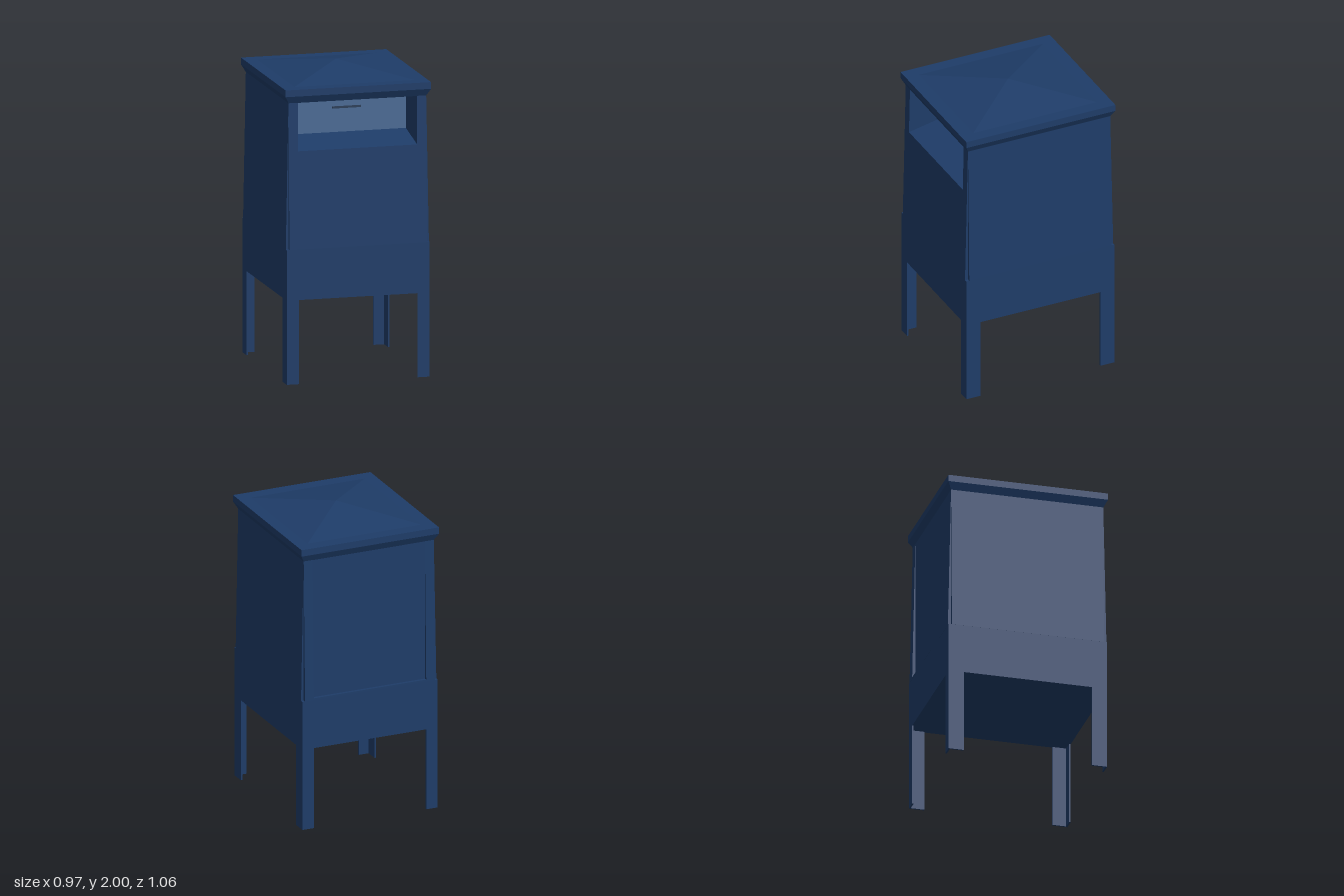
import * as THREE from 'three';
import { mergeGeometries } from 'three/addons/utils/BufferGeometryUtils.js';

const HX = 0.457, HZ = 0.505;      // half size of the upright core
const BX = 0.475, BZ = 0.526;      // half size of the base and legs
const BOTTOM = 0.55, STEP = 0.88, SLOT = 1.52, TOP = 1.84;
const OPEN = 0.395, BACK = 0.245;  // half width and back plane of the opening

const blue = new THREE.MeshStandardMaterial({ color: 0x1e3c68 });
const pale = new THREE.MeshStandardMaterial({ color: 0x4a6a94 });
const dark = new THREE.MeshStandardMaterial({ color: 0x2c3e58 });

// Box given by its extents
function block(x0, x1, y0, y1, z0, z1) {
  return new THREE.BoxGeometry(x1 - x0, y1 - y0, z1 - z0)
    .translate((x0 + x1) / 2, (y0 + y1) / 2, (z0 + z1) / 2);
}

// Side profile in (z, y), extruded across x
function prism(points, x0, x1) {
  const shape = new THREE.Shape(points.map(([z, y]) => new THREE.Vector2(z, y)));
  return new THREE.ExtrudeGeometry(shape, { depth: x1 - x0, bevelEnabled: false })
    .rotateY(-Math.PI / 2).translate(x1, 0, 0);
}

// Tapering skin: thick at the step, fading out under the roof
function skin(x0, x1, y0, y1, face, depth) {
  const t = (y) => face + 0.0005 + (depth * (TOP - y)) / (TOP - STEP);
  return prism([[face - 0.002, y0], [t(y0), y0], [t(y1), y1], [face - 0.002, y1]], x0, x1);
}

// Flat-sided loft through rectangular rings [y, halfX, halfZ]
function loft(rings) {
  const pos = [];
  const corner = ([y, x, z], i) => [[x, y, z], [x, y, -z], [-x, y, -z], [-x, y, z]][i % 4];
  for (let r = 0; r < rings.length - 1; r++) {
    for (let i = 0; i < 4; i++) {
      const a = corner(rings[r], i), b = corner(rings[r], i + 1);
      const c = corner(rings[r + 1], i + 1), d = corner(rings[r + 1], i);
      pos.push(...a, ...b, ...c, ...a, ...c, ...d);
    }
  }
  const g = new THREE.BufferGeometry();
  g.setAttribute('position', new THREE.Float32BufferAttribute(pos, 3));
  g.computeVertexNormals();
  return g;
}

export function createModel() {
  const model = new THREE.Group();
  model.name = 'dropBox';
  const add = (name, geometry, material = blue) => {
    const mesh = new THREE.Mesh(geometry, material);
    mesh.name = name;
    model.add(mesh);
    return mesh;
  };

  // Base and core, leaving the front opening free
  add('base', block(-BX, BX, BOTTOM, STEP, -BZ, BZ));
  add('core', mergeGeometries([
    block(-HX, HX, STEP, SLOT, -HZ, HZ),
    block(-HX, HX, SLOT, TOP, -HZ, BACK),
    block(-HX, -OPEN, SLOT, TOP, BACK, HZ),
    block(OPEN, HX, SLOT, TOP, BACK, HZ),
  ]));

  // Front skin below and beside the opening
  add('frontPanel', mergeGeometries([
    skin(-HX, HX, STEP, SLOT, HZ, BZ - HZ),
    skin(-HX, -OPEN, SLOT, TOP, HZ, BZ - HZ),
    skin(OPEN, HX, SLOT, TOP, HZ, BZ - HZ),
  ]));

  // Back frame around the recessed door
  add('backFrame', mergeGeometries([
    skin(-HX, -OPEN, STEP, TOP, HZ, BZ - HZ),
    skin(OPEN, HX, STEP, TOP, HZ, BZ - HZ),
    skin(-OPEN, OPEN, STEP, STEP + 0.012, HZ, BZ - HZ),
  ]).rotateY(Math.PI));

  // Side skins
  for (const s of [1, -1]) {
    add(s > 0 ? 'leftPanel' : 'rightPanel',
      skin(-HZ, HZ, STEP, TOP, HX, BX - HX).rotateY((s * Math.PI) / 2));
  }

  // Sloping chute, inner flap and its slot
  add('chute', prism([[BACK, SLOT], [HZ + 0.007, SLOT], [BACK, 1.575]], -OPEN, OPEN));
  add('flap', block(-OPEN, OPEN, 1.575, TOP, BACK, BACK + 0.004), pale);
  add('flapSlot', block(-0.095, 0.095, 1.729, 1.743, BACK, BACK + 0.008), dark);

  // Angle-section legs at the four corners
  const t = 0.01;
  for (const sx of [1, -1]) {
    for (const sz of [1, -1]) {
      const span = (s, a, b) => (s > 0 ? [a, b] : [-b, -a]);
      add((sz > 0 ? 'front' : 'back') + (sx > 0 ? 'Left' : 'Right') + 'Leg', mergeGeometries([
        block(...span(sx, OPEN, BX), 0, BOTTOM, ...span(sz, BZ - t, BZ)),
        block(...span(sx, BX - t, BX), 0, BOTTOM, ...span(sz, 0.426, BZ - t)),
      ]));
    }
  }

  // Flared eave, flat ledge and low pyramid
  add('roof', loft([
    [1.835, HX, HZ], [1.882, 0.483, 0.53], [1.926, 0.483, 0.53],
    [1.926, 0.4, 0.44], [2, 0.0005, 0.0005],
  ]));
  add('roofUnderside', block(-HX, HX, 1.836, 1.85, -HZ, HZ));

  return model;
}
